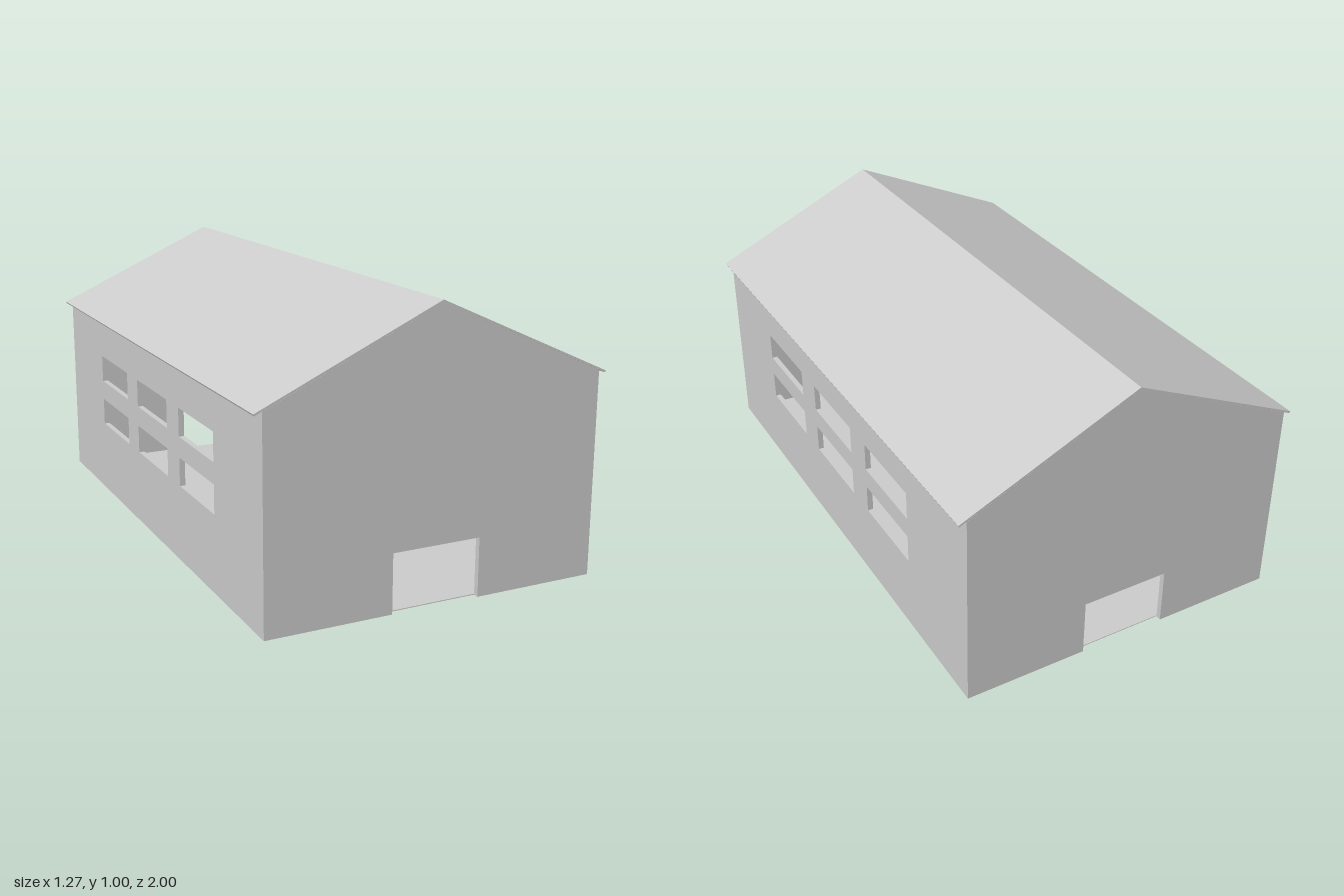
import * as THREE from 'three';

const W = 0.605, L = 1, T = 0.02;          // half width, half length, wall thickness
const EAVE = 0.719, RIDGE = 0.993;         // underside of the roof
const material = new THREE.MeshStandardMaterial({ color: 0xcccccc, flatShading: true });

function shapeOf(points) {
  return new THREE.Shape(points.map(([x, y]) => new THREE.Vector2(x, y)));
}

function extrude(shape, depth) {
  return new THREE.ExtrudeGeometry(shape, { depth, bevelEnabled: false });
}

export function createModel() {
  const group = new THREE.Group();
  const add = (name, geometry) => {
    const mesh = new THREE.Mesh(geometry, material);
    mesh.name = name;
    group.add(mesh);
  };

  // Gable walls with a doorway at each end
  const gable = shapeOf([
    [-W, 0], [-0.16, 0], [-0.16, 0.207], [0.16, 0.207], [0.16, 0], [W, 0],
    [W, EAVE], [0, RIDGE], [-W, EAVE],
  ]);
  add('frontWall', extrude(gable, T).translate(0, 0, L - T));
  add('backWall', extrude(gable, T).translate(0, 0, -L));

  // Side walls, each with two rows of three window openings
  const side = shapeOf([[-L + T, 0], [L - T, 0], [L - T, EAVE], [-L + T, EAVE]]);
  for (const z of [-0.43, 0.01, 0.45]) {
    for (const y of [0.277, 0.455]) {
      side.holes.push(shapeOf([
        [z - 0.16, y], [z - 0.16, y + 0.103], [z + 0.16, y + 0.103], [z + 0.16, y],
      ]));
    }
  }
  for (const [name, x] of [['leftWall', W], ['rightWall', -W + T]]) {
    add(name, extrude(side, T).rotateY(-Math.PI / 2).translate(x, 0, 0));
  }

  // Thin pitched roof with overhanging eaves
  const roof = shapeOf([
    [0, RIDGE], [0.63, 0.708], [0.633, 0.714], [0, 1], [-0.633, 0.714], [-0.63, 0.708],
  ]);
  add('roof', extrude(roof, 2 * L).translate(0, 0, -L));

  // Floor between the walls
  add('floor', new THREE.BoxGeometry(2 * (W - T), 0.003, 2 * (L - T)).translate(0, 0.0015, 0));

  return group;
}
